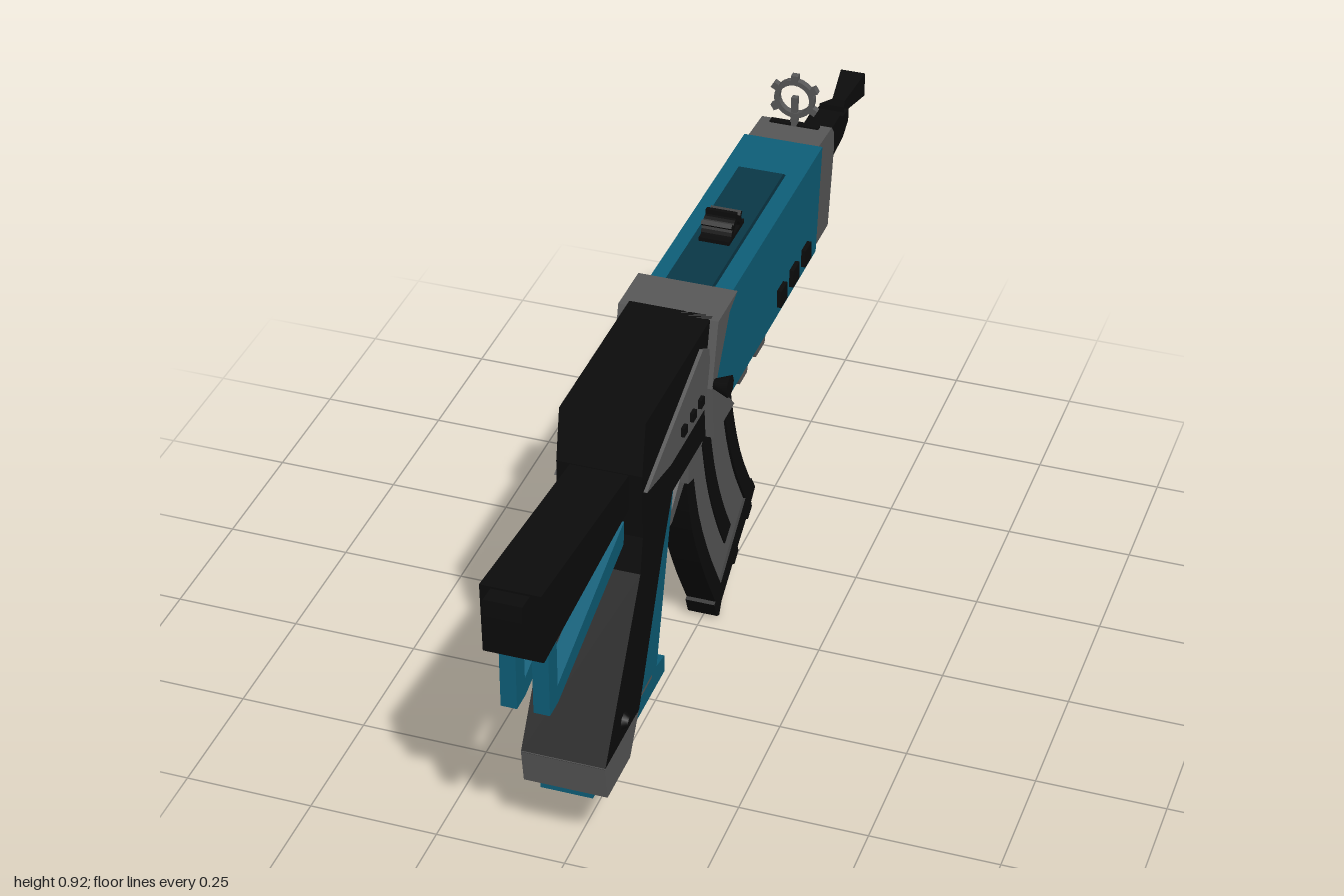
import * as THREE from 'three';

const mat = (name, color) => {
  const m = new THREE.MeshStandardMaterial({ color });
  m.name = name;
  return m;
};

export function createModel() {
  const model = new THREE.Group();
  model.name = 'toyRifle';
  const black = mat('black', 0x0c0c0c);
  const grey = mat('grey', 0x595959);
  const teal = mat('teal', 0x0e5f79);
  const darkTeal = mat('darkTeal', 0x0a3848);

  const add = (name, geo, material) => {
    const mesh = new THREE.Mesh(geo, material);
    mesh.name = name;
    model.add(mesh);
    return mesh;
  };
  // Side profile given as [z, y] points, extruded across x
  const slab = (name, pts, half, material, x = 0, hole = null) => {
    const shape = new THREE.Shape(pts.map(p => new THREE.Vector2(...p)));
    if (hole) shape.holes.push(hole);
    const geo = new THREE.ExtrudeGeometry(shape, { depth: half * 2, bevelEnabled: false, curveSegments: 10 });
    geo.translate(0, 0, -half).rotateY(-Math.PI / 2);
    return add(name, geo.translate(x, 0, 0), material);
  };
  const box = (name, w, h, d, x, y, z, material) =>
    add(name, new THREE.BoxGeometry(w, h, d).translate(x, y, z), material);
  // Outline of a ring with square teeth
  const gearPoints = (r, tip, teeth, cx, cy) => {
    const pts = [];
    for (let i = 0; i < teeth; i++) {
      const a = Math.PI / 2 + (i / teeth) * Math.PI * 2;
      const step = Math.PI * 2 / teeth;
      for (const [o, q] of [[-0.36, r], [-0.16, r], [-0.13, tip], [0.13, tip], [0.16, r], [0.36, r]])
        pts.push([cx + Math.cos(a + o * step) * q, cy + Math.sin(a + o * step) * q]);
    }
    return pts;
  };
  const circle = (x, y, r) => new THREE.Path().absarc(x, y, r, 0, Math.PI * 2, true);

  // Shoulder stock and its twin struts
  slab('stock', [[0.965, 0.77], [0.5, 0.725], [0.5, 0.66], [0.96, 0.628]], 0.055, black);
  slab('stockCap', [[1, 0.768], [0.95, 0.765], [0.95, 0.72], [1, 0.735]], 0.035, black);
  for (const s of [-1, 1])
    slab('stockStrut', [[0.915, 0.635], [0.915, 0.478], [0.875, 0.478], [0.48, 0.598], [0.48, 0.645],
      [0.875, 0.515], [0.875, 0.635]], 0.015, teal, s * 0.03);

  // Rear receiver and collar
  slab('rearReceiver', [[0.515, 0.83], [0.15, 0.83], [0.15, 0.593], [0.535, 0.593], [0.535, 0.73]], 0.08, black);
  slab('collar', [[0.165, 0.83], [0.055, 0.83], [0.10, 0.812], [0.176, 0.705], [0.07, 0.592],
    [0.19, 0.592], [0.2, 0.705]], 0.096, grey);

  // Main body
  slab('bodyShell', [[0.176, 0.705], [0.1, 0.815], [-0.522, 0.812], [-0.49, 0.593], [0.07, 0.593]], 0.08, teal);
  slab('topInset', [[0.09, 0.826], [-0.38, 0.824], [-0.4, 0.81], [0.09, 0.81]], 0.045, darkTeal);
  slab('frontBlock', [[-0.5, 0.812], [-0.61, 0.806], [-0.628, 0.785], [-0.628, 0.745], [-0.597, 0.59], [-0.47, 0.59]],
    0.072, grey);
  box('frontVent', 0.1, 0.006, 0.014, 0, 0.808, -0.597, black);

  // Lower rail with lugs
  slab('lowerRail', [[0.2, 0.6], [0.2, 0.485], [0.165, 0.475], [0.115, 0.53], [-0.34, 0.535], [-0.37, 0.55],
    [-0.648, 0.55], [-0.648, 0.598]], 0.05, grey);
  for (const [a, b, c, d] of [[-0.13, -0.15, -0.195, -0.215], [-0.235, -0.25, -0.305, -0.325]])
    slab('railLug', [[a, 0.54], [b, 0.482], [c, 0.482], [d, 0.54]], 0.035, grey);

  // Details mirrored on both sides
  for (const s of [-1, 1]) {
    slab('sidePlate', [[0.53, 0.695], [0.225, 0.805], [0.19, 0.785], [0.175, 0.70], [0.215, 0.67], [0.4, 0.67]],
      0.004, grey, s * 0.083);
    for (const z of [0.34, 0.29, 0.245]) box('plateStud', 0.008, 0.018, 0.018, s * 0.09, 0.705, z, black);
    for (const z of [-0.257, -0.335, -0.412]) box('bodyStud', 0.012, 0.037, 0.038, s * 0.083, 0.632, z, black);
    const knob = new THREE.CylinderGeometry(0.022, 0.01, 0.03, 8).rotateZ(-s * Math.PI / 2);
    add('sideKnob', knob.translate(s * 0.111, 0.71, 0.187), black);
    const button = new THREE.CylinderGeometry(0.01, 0.018, 0.012, 8).rotateZ(-s * Math.PI / 2);
    add('gripButton', button.translate(s * 0.085, 0.272, 0.645), black);
  }

  // Grip
  slab('gripBack', [[0.535, 0.6], [0.37, 0.6], [0.43, 0.5], [0.565, 0.235], [0.745, 0.235], [0.55, 0.53]], 0.08, black);
  slab('gripPanel', [[0.38, 0.6], [0.335, 0.6], [0.44, 0.24], [0.57, 0.24], [0.43, 0.5]], 0.07, teal);
  slab('gripFront', [[0.345, 0.6], [0.308, 0.6], [0.425, 0.198], [0.6, 0.198], [0.57, 0.245], [0.44, 0.245]], 0.055, grey);
  slab('gripHeel', [[0.745, 0.237], [0.565, 0.237], [0.615, 0.164], [0.735, 0.164]], 0.08, grey);
  slab('gripFoot', [[0.73, 0.15], [0.34, 0.15], [0.34, 0.187], [0.42, 0.2], [0.6, 0.2], [0.63, 0.168], [0.73, 0.168]],
    0.05, teal);

  // Trigger and guard
  slab('trigger', [[0.335, 0.6], [0.245, 0.6], [0.315, 0.47], [0.345, 0.47]], 0.025, teal);
  slab('triggerGuard', [[0.375, 0.462], [0.335, 0.43], [0.25, 0.427], [0.17, 0.475], [0.19, 0.505], [0.25, 0.457],
    [0.36, 0.472]], 0.035, grey);

  // Curved magazine, as bands between its rear and front edges
  const curve = pts => new THREE.CatmullRomCurve3(pts.map(([z, y]) => new THREE.Vector3(0, y, z)));
  const rear = curve([[0.18, 0.57], [0.155, 0.45], [0.12, 0.32], [0.055, 0.18], [-0.03, 0.035]]);
  const front = curve([[-0.085, 0.58], [-0.107, 0.5], [-0.138, 0.395], [-0.18, 0.295], [-0.25, 0.18]]);
  const magazineBand = (name, f0, f1, half, material, end = 1) => {
    const pts = [];
    const at = (t, f) => rear.getPoint(t).lerp(front.getPoint(t), f);
    for (let i = 0; i <= 10; i++) pts.push(at(i / 10 * end, f0));
    for (let i = 10; i >= 0; i--) pts.push(at(i / 10 * end, f1));
    slab(name, pts.map(p => [p.z, p.y]), half, material);
  };
  magazineBand('magazineRearEdge', 0, 0.15, 0.03, black);
  magazineBand('magazineCore', 0.14, 0.86, 0.025, grey);
  magazineBand('magazineGroove', 0.4, 0.56, 0.028, black, 0.9);
  magazineBand('magazineFrontEdge', 0.85, 1, 0.03, black);
  slab('magazineBase', [[-0.015, 0.045], [-0.03, 0.008], [-0.045, 0], [-0.06, 0.025], [-0.13, 0.068], [-0.14, 0.058],
    [-0.165, 0.075], [-0.16, 0.088], [-0.215, 0.12], [-0.225, 0.11], [-0.25, 0.125], [-0.245, 0.14],
    [-0.27, 0.16], [-0.245, 0.197]], 0.03, black);

  // Barrel, fore handle and its small trigger ring
  slab('foreHandle', [[-0.645, 0.718], [-0.81, 0.718], [-0.83, 0.705], [-0.87, 0.7], [-0.87, 0.675], [-0.835, 0.655],
    [-0.745, 0.645], [-0.735, 0.52], [-0.638, 0.52], [-0.66, 0.61]], 0.03, black);
  const ring = new THREE.TorusGeometry(0.027, 0.005, 6, 12).rotateY(Math.PI / 2);
  add('foreTriggerRing', ring.translate(0, 0.622, -0.785), black);
  const squareTube = (name, z0, r0, z1, r1, open) => {
    const k = Math.SQRT2;
    const geo = new THREE.CylinderGeometry(r0 * k, r1 * k, z0 - z1, 4, 1, open).toNonIndexed();
    geo.rotateY(Math.PI / 4).rotateX(Math.PI / 2);
    geo.computeVertexNormals();
    return add(name, geo.translate(0, 0.688, (z0 + z1) / 2), black);
  };
  squareTube('barrelTaper', -0.85, 0.026, -0.9, 0.013);
  squareTube('muzzle', -0.89, 0.012, -1, 0.026);
  box('muzzleBore', 0.03, 0.03, 0.004, 0, 0.688, -0.9985, grey);

  // Front ring sight
  const sight = new THREE.Shape(gearPoints(0.041, 0.052, 6, 0, 0.868).map(p => new THREE.Vector2(...p)));
  sight.holes.push(circle(0, 0.868, 0.031));
  add('frontSightRing', new THREE.ExtrudeGeometry(sight, { depth: 0.014, bevelEnabled: false, curveSegments: 12 })
    .translate(0, 0, -0.602), grey);
  box('frontSightPost', 0.012, 0.075, 0.012, 0, 0.833, -0.595, grey);

  // Rear sight, a half sunk toothed drum
  slab('rearSight', gearPoints(0.033, 0.043, 8, -0.14, 0.828), 0.03, black, 0, circle(-0.14, 0.83, 0.02));
  box('rearSightBase', 0.06, 0.02, 0.09, 0, 0.823, -0.14, black);
  return model;
}
